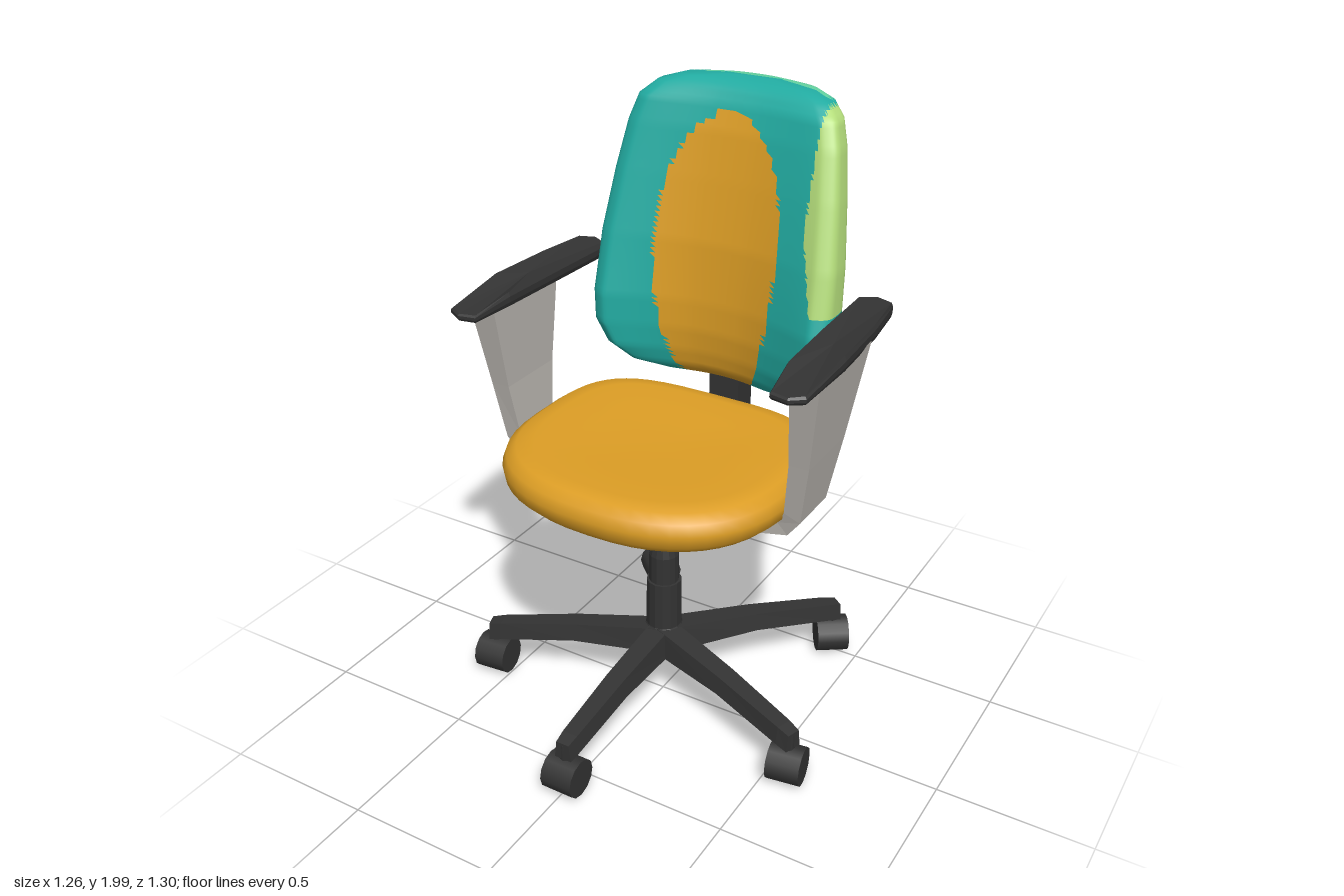
import * as THREE from 'three';

const mat = (name, hex) => Object.assign(new THREE.MeshStandardMaterial({ color: hex }), { name });

// Skin a list of closed rings of [x, y, z], with fan caps; pick(face centre, ring) gives a colour group
function loft(rings, { flat = false, pick = null } = {}) {
  const n = rings[0].length, pos = [], tris = [];
  rings.forEach(r => r.forEach(p => pos.push(...p)));
  for (let i = 0; i < rings.length - 1; i++) {
    for (let j = 0; j < n; j++) {
      const k = (j + 1) % n, a = i * n + j, b = i * n + k;
      tris.push([a, b, b + n], [a, b + n, a + n]);
    }
  }
  [0, rings.length - 1].forEach((ri, end) => {
    const c = [0, 1, 2].map(q => rings[ri].reduce((s, p) => s + p[q], 0) / n);
    const ci = pos.length / 3;
    pos.push(...c);
    for (let j = 0; j < n; j++) {
      const a = ri * n + j, b = ri * n + (j + 1) % n;
      tris.push(end ? [a, b, ci] : [b, a, ci]);
    }
  });
  // make every face point outward
  const v = i => new THREE.Vector3(pos[3 * i], pos[3 * i + 1], pos[3 * i + 2]);
  let volume = 0;
  for (const t of tris) volume += v(t[0]).dot(v(t[1]).cross(v(t[2])));
  if (volume < 0) tris.forEach(t => t.reverse());
  const buckets = [];
  for (const t of tris) {
    const c = v(t[0]).add(v(t[1])).add(v(t[2])).divideScalar(3);
    const g = pick ? pick(c) : 0;
    (buckets[g] ??= []).push(...t);
  }
  let geo = new THREE.BufferGeometry();
  geo.setAttribute('position', new THREE.Float32BufferAttribute(pos, 3));
  geo.setIndex(buckets.flat().filter(i => i !== undefined));
  let start = 0;
  if (pick) buckets.forEach((b, g) => { geo.addGroup(start, b.length, g); start += b.length; });
  if (flat) geo = geo.toNonIndexed();
  geo.computeVertexNormals();
  return geo;
}

const spow = (v, e) => Math.sign(v) * Math.abs(v) ** e;

// Backrest rows: y, half width, front centre z, front wing z, back centre z
const BACK = [
  [1.02, .10, -.44, -.44, -.49], [1.03, .22, -.41, -.37, -.515], [1.06, .33, -.385, -.31, -.53],
  [1.12, .39, -.37, -.26, -.545], [1.2, .425, -.36, -.24, -.555], [1.3, .43, -.36, -.24, -.57],
  [1.5, .42, -.375, -.285, -.59], [1.7, .395, -.41, -.34, -.61], [1.85, .37, -.44, -.385, -.625],
  [1.93, .345, -.465, -.415, -.63], [1.97, .30, -.49, -.46, -.633], [1.99, .23, -.52, -.5, -.625],
  [2.0, .10, -.56, -.55, -.6],
];
const BACK_X = -.015;

function backRow(y) {
  let i = 0;
  while (i < BACK.length - 2 && BACK[i + 1][0] < y) i++;
  const a = BACK[i], b = BACK[i + 1], t = THREE.MathUtils.clamp((y - a[0]) / (b[0] - a[0]), 0, 1);
  return a.map((q, k) => q + (b[k] - q) * t);
}

// Front and back z of the padding at relative width u
function backDepth(row, u) {
  const [, w, fc, fw, bc] = row;
  const front = fc + (fw - fc) * Math.min(1.05, (u / .85) ** 2);
  const back = Math.min(bc + .12 * (u * w / .42) ** 2, front - .02);
  return [front, back];
}

function backrestGeometry() {
  const rings = [];
  for (let i = 0; i < BACK.length - 1; i++) {
    const steps = Math.max(2, Math.ceil((BACK[i + 1][0] - BACK[i][0]) / .018));
    for (let s = 0; s < steps; s++) rings.push(backRow(BACK[i][0] + (BACK[i + 1][0] - BACK[i][0]) * s / steps));
  }
  rings.push(BACK[BACK.length - 1]);
  const loops = rings.map(row => Array.from({ length: 112 }, (_, j) => {
    const a = j / 112 * Math.PI * 2, u = spow(Math.cos(a), .6), s = spow(Math.sin(a), .5);
    const [f, b] = backDepth(row, u);
    return [BACK_X + u * row[1], row[0], (f + b) / 2 + s * (f - b) / 2];
  }));
  // groups: 0 shell, 1 oval cushion, 2 rear, 3 side flash
  return loft(loops, { pick({ x, y, z }) {
    const row = backRow(y), [f, b] = backDepth(row, Math.min(1, Math.abs(x - BACK_X) / row[1]));
    const s = (z - (f + b) / 2) / ((f - b) / 2);
    const t = (y - 1.48) / .43;
    const half = t > 1 ? 0 : t > 0 ? .218 * (1 - t ** 2.4) ** .5 : .218 - .08 * t * t;
    if (s > 0 && Math.abs(x + .022) < half) return 1;
    const line = -.40 - .36 * Math.max(0, y - 1.35);
    if (x > -.2 && (x < .27 ? s < 0 : s < -.75 || z < line)) return 2;
    if (y > 1.37 && x > .29 + .06 * Math.max(0, (1.6 - y) / .23)) return 3;
    return 0;
  } });
}

function seatGeometry() {
  const layers = [[.832, .4], [.83, .78], [.845, .92], [.875, .985], [.915, 1], [.95, .975],
    [.973, .91], [.98, .8], [.974, .5], [.97, .2]];
  return loft(layers.map(([y, k]) => Array.from({ length: 48 }, (_, j) => {
    const a = j / 48 * Math.PI * 2, c = Math.cos(a), s = Math.sin(a), e = s > 0 ? 2 / 2.4 : 2 / 3.5;
    return [-.013 + .482 * k * spow(c, e), y, (s > 0 ? .445 : .415) * k * spow(s, e)];
  })));
}

export function createModel() {
  const dark = mat('charcoal plastic', 0x333333), orange = mat('orange fabric', 0xdd9e25);
  const teal = mat('teal fabric', 0x22aca2), mint = mat('mint fabric', 0x64d2a0);
  const lime = mat('lime fabric', 0xb3dc7a), grey = mat('grey bracket', 0xb7b3ad);
  const chair = new THREE.Group();
  chair.name = 'officeChair';
  const add = (name, geo, material, parent = chair) => {
    const m = new THREE.Mesh(geo, material);
    m.name = name;
    parent.add(m);
    return m;
  };

  add('backrest', backrestGeometry(), [teal, orange, mint, lime]);
  add('seat', seatGeometry(), orange);

  // Five-legged base with casters: x, z, wheel heading
  const base = new THREE.Group();
  base.name = 'base';
  chair.add(base);
  const casters = [[0, .585, 0], [.57, .19, .15], [.395, -.51, .6], [-.345, -.57, -.75], [-.56, .19, .1]];
  for (const [x, z, yaw] of casters) {
    const len = Math.hypot(x, z) + .02;
    const sections = [[0, .05, .19, .28], [.5, .043, .19, .25], [.93, .035, .15, .21], [1, .03, .14, .2]];
    const leg = add('leg', loft(sections.map(([t, w, lo, hi]) =>
      [[-w, lo, t * len], [w, lo, t * len], [w * .75, hi, t * len], [-w * .75, hi, t * len]]), { flat: true }), dark, base);
    leg.rotation.y = Math.atan2(x, z);
    const caster = new THREE.Group();
    caster.name = 'caster';
    caster.position.set(x, 0, z);
    caster.rotation.y = yaw;
    base.add(caster);
    const wheel = add('wheel', new THREE.CylinderGeometry(.064, .064, .11, 12).rotateZ(Math.PI / 2), dark, caster);
    wheel.position.set(0, .074, .005);
    const stem = add('stem', new THREE.CylinderGeometry(.022, .022, .08, 8), dark, caster);
    stem.position.y = .15;
  }

  // Gas column, collar and swivel plate
  const turned = (name, pts) => {
    const geo = new THREE.LatheGeometry(pts.map(p => new THREE.Vector2(...p)), 14).toNonIndexed();
    geo.computeVertexNormals();
    add(name, geo, dark).position.set(-.008, 0, -.02);
  };
  turned('column', [[0, .18], [.075, .19], [.075, .25], [.06, .28], [.058, .45], [.05, .45], [.05, .55], [.036, .61], [0, .63]]);
  turned('collar', [[0, .61], [.088, .61], [.092, .71], [.112, .715], [.115, .76], [.125, .77], [.125, .815], [0, .83]]);

  // Bent bar carrying the backrest
  const bar = new THREE.Shape([[.13, .81], [.13, .775], [-.42, .77], [-.485, .785], [-.515, .83], [-.515, 1.08],
    [-.42, 1.08], [-.42, .85], [-.39, .815]].map(([z, y]) => new THREE.Vector2(-z, y)));
  const barGeo = new THREE.ExtrudeGeometry(bar, { depth: .11, bevelEnabled: false });
  add('backSupport', barGeo.rotateY(Math.PI / 2).translate(-.068, 0, 0), dark);

  // Armrests: outer x, y, inner x, y, front z, rear z
  const bracket = [[.06, .79, .06, .815, .09, -.11], [.40, .80, .40, .825, .07, -.09], [.49, .82, .455, .855, .07, -.09],
    [.535, .88, .48, .90, .08, -.10], [.565, 1.08, .50, 1.08, .105, -.14], [.605, 1.38, .51, 1.38, .15, -.2]];
  const padOutline = [[.46, -.42], [.515, -.45], [.575, -.43], [.60, -.25], [.615, 0], [.605, .235], [.56, .26],
    [.50, .25], [.478, .1], [.468, -.15]];
  for (const side of [1, -1]) {
    const arm = new THREE.Group();
    arm.name = side > 0 ? 'leftArmrest' : 'rightArmrest';
    arm.position.x = -.015;
    chair.add(arm);
    add('armBracket', loft(bracket.map(([xo, yo, xi, yi, f, b]) =>
      [[side * xo, yo, f], [side * xo, yo, b], [side * xi, yi, b], [side * xi, yi, f]]), { flat: true }), grey, arm);
    // the pad top slopes down toward its front tip
    const layers = [[1.365, .93], [1.38, 1], [1.40, 1], [1.413, .9]];
    add('armPad', loft(layers.map(([y, k]) => padOutline.map(([x, z]) =>
      [side * (.54 + (x - .54) * k), y - Math.max(0, z - .08) * (y - 1.35) * 3, -.095 + (z + .095) * (.85 + .15 * k)])),
    { flat: true }), dark, arm);
  }

  // Height lever
  const path = new THREE.CatmullRomCurve3([[-.08, .785], [-.17, .75], [-.26, .727], [-.38, .718]]
    .map(([x, y]) => new THREE.Vector3(x, y, 0)));
  add('leverRod', new THREE.TubeGeometry(path, 12, .009, 6), dark);
  const paddle = add('leverPaddle', new THREE.SphereGeometry(1, 12, 8).scale(.065, .014, .05), dark);
  paddle.position.set(-.405, .715, 0);
  paddle.rotation.z = .12;
  return chair;
}
